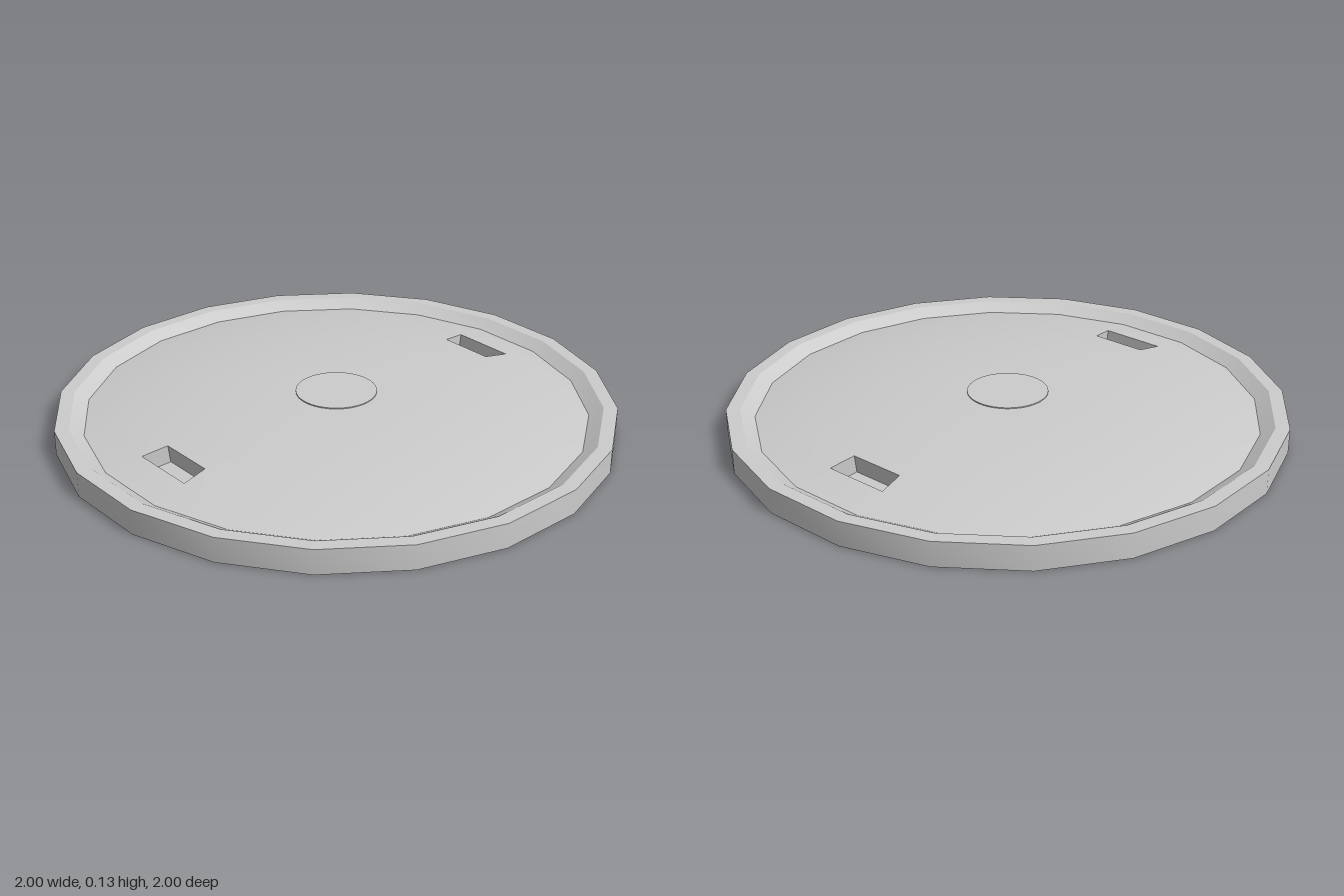
import * as THREE from 'three';
import { toCreasedNormals, mergeVertices } from 'three/addons/utils/BufferGeometryUtils.js';

const SIDES = 20;
const STEP = (Math.PI * 2) / SIDES;
const DOME_RADIUS = 0.9;
const DISC_RADIUS = 0.145;
const domeHeight = (r) => 0.127 - 0.037 * Math.pow(r / 0.71, 2.5);

// Rings of the dome; the slots fill one cell between the rings at 0.67 and 0.766
const RINGS = [DOME_RADIUS, 0.84, 0.766, 0.67, 0.56, 0.45, 0.34, 0.24, DISC_RADIUS, 0];
const SLOT_RING = 2;
const SLOT_SECTORS = [SIDES / 2 - 1, SIDES - 1];

const point = (r, i, y = domeHeight(r)) =>
  new THREE.Vector3(r * Math.sin(i * STEP), y, r * Math.cos(i * STEP));

// Corners run counter-clockwise as seen from the visible side
function quadGeometry(quads) {
  const pos = [];
  for (const [a, b, c, d] of quads) {
    for (const v of [a, b, c, a, c, d]) pos.push(v.x, v.y, v.z);
  }
  const geometry = new THREE.BufferGeometry();
  geometry.setAttribute('position', new THREE.Float32BufferAttribute(pos, 3));
  return geometry;
}

export function createModel() {
  const group = new THREE.Group();
  group.name = 'roundCover';
  const material = new THREE.MeshStandardMaterial({ color: 0xcccccc });

  const add = (name, geometry) => {
    const mesh = new THREE.Mesh(geometry, material);
    mesh.name = name;
    group.add(mesh);
  };

  // Flat base, outer wall and bevelled rim
  const profile = [
    [0, 0], [1, 0], [1, 0.09], [0.95, 0.09], [DOME_RADIUS, domeHeight(DOME_RADIUS)],
  ].map(([x, y]) => new THREE.Vector2(x, y));
  add('baseAndRim', toCreasedNormals(new THREE.LatheGeometry(profile, SIDES), 0.5));

  // Shallow dome with the two slot cells left open
  const cells = [];
  for (let k = 0; k < RINGS.length - 1; k++) {
    for (let i = 0; i < SIDES; i++) {
      if (k === SLOT_RING && SLOT_SECTORS.includes(i)) continue;
      const [outer, inner] = [RINGS[k], RINGS[k + 1]];
      cells.push([point(outer, i), point(outer, i + 1), point(inner, i + 1), point(inner, i)]);
    }
  }
  const dome = mergeVertices(quadGeometry(cells), 1e-4);
  dome.computeVertexNormals();
  add('dome', dome);

  // Lifting slots, sunk square to the dome surface
  const [slotOuter, slotInner] = [RINGS[SLOT_RING], RINGS[SLOT_RING + 1]];
  SLOT_SECTORS.forEach((i, n) => {
    const top = [point(slotOuter, i), point(slotOuter, i + 1), point(slotInner, i + 1), point(slotInner, i)];
    const normal = new THREE.Vector3()
      .crossVectors(top[1].clone().sub(top[0]), top[3].clone().sub(top[0])).normalize();
    const floor = top.map((v) => v.clone().addScaledVector(normal, -0.065));
    const quads = [floor];
    for (let k = 0; k < 4; k++) {
      const m = (k + 1) % 4;
      quads.push([top[k], top[m], floor[m], floor[k]]);
    }
    const slot = quadGeometry(quads);
    slot.computeVertexNormals();
    add(n === 0 ? 'backSlot' : 'frontSlot', slot);
  });

  // Slightly raised centre disc
  const disc = new THREE.CylinderGeometry(DISC_RADIUS, DISC_RADIUS, 0.01, 64);
  disc.translate(0, 0.125, 0);
  add('centreDisc', disc);

  return group;
}
